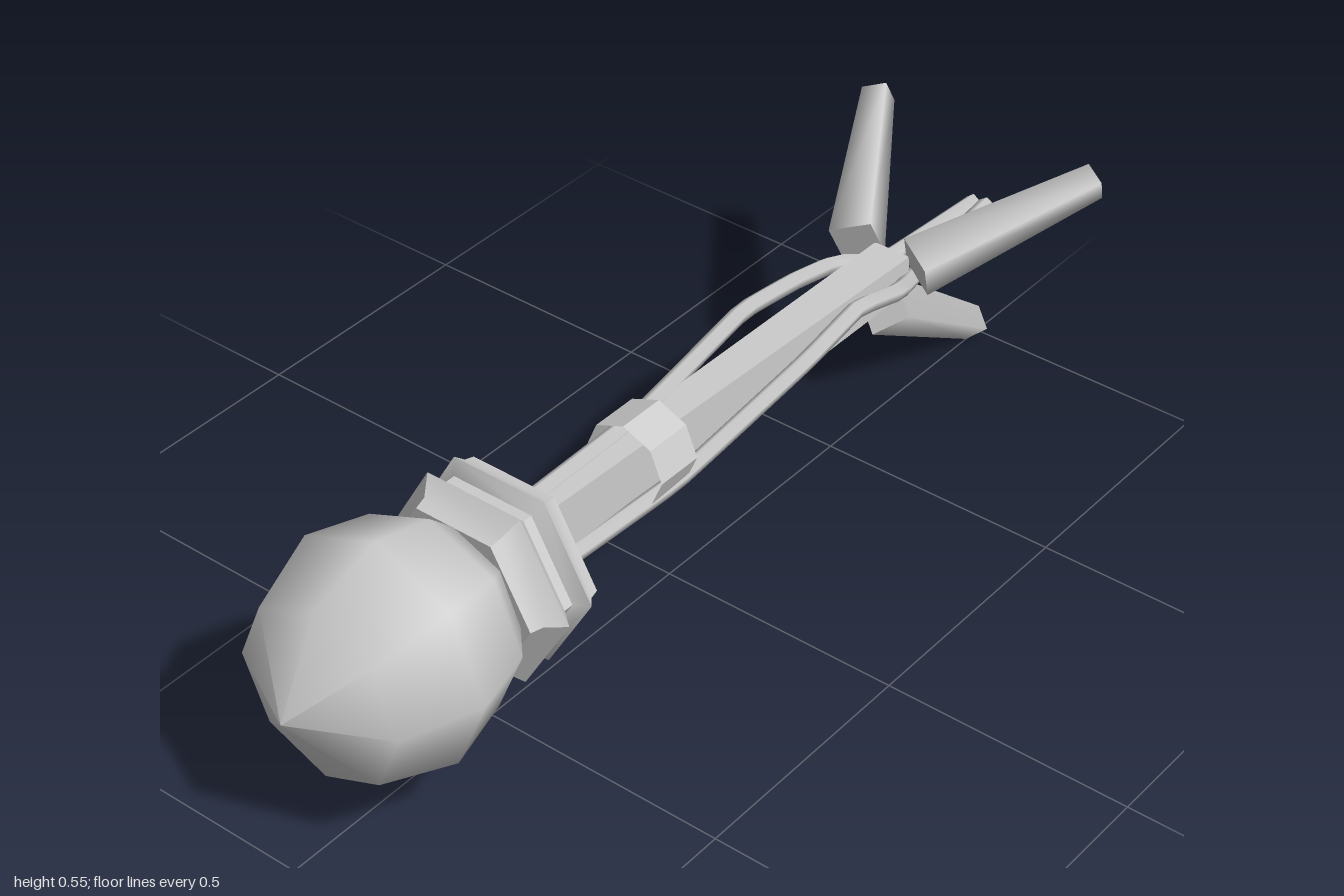
import * as THREE from 'three';
import { toCreasedNormals } from 'three/addons/utils/BufferGeometryUtils.js';

const AXIS_Y = 0.325;
const material = new THREE.MeshStandardMaterial({ color: 0xcccccc, side: THREE.DoubleSide });

function add(parent, name, geometry) {
  const mesh = new THREE.Mesh(geometry, material);
  mesh.name = name;
  parent.add(mesh);
  return mesh;
}

// Solid of revolution around the long (z) axis; profile is [radius, z], back to front
function turned(profile, sides, phase = 0) {
  const points = profile.map(([r, z]) => new THREE.Vector2(r, z));
  return new THREE.LatheGeometry(points, sides, phase).rotateX(Math.PI / 2).translate(0, AXIS_Y, 0);
}

// Bent wire through a few points
function wire(points) {
  const path = new THREE.CatmullRomCurve3(points.map((p) => new THREE.Vector3(...p)), false, 'catmullrom', 0.1);
  return new THREE.TubeGeometry(path, 32, 0.018, 5, false);
}

export function createModel() {
  const model = new THREE.Group();

  // Faceted round head
  add(model, 'head', turned([
    [0, 0.53], [0.13, 0.56], [0.195, 0.63], [0.228, 0.76], [0.175, 0.91], [0, 1],
  ], 8));

  // Ribbed six-sided collar behind the head
  add(model, 'collar', toCreasedNormals(turned([
    [0, 0.42], [0.18, 0.42], [0.185, 0.44], [0.2, 0.458], [0.172, 0.475],
    [0.172, 0.495], [0.205, 0.522], [0.172, 0.55], [0.165, 0.575], [0, 0.575],
  ], 6, Math.PI / 6 * 3), 0.6));

  // Stem, a little taller at the collar than at the tail
  const stem = new THREE.BoxGeometry(1, 1, 1.12);
  const pos = stem.attributes.position;
  for (let i = 0; i < pos.count; i++) {
    const front = pos.getZ(i) > 0;
    const top = pos.getY(i) > 0;
    const y = front ? (top ? 0.39 : 0.275) : (top ? 0.365 : 0.285);
    pos.setXYZ(i, Math.sign(pos.getX(i)) * (front ? 0.03 : 0.04), y, front ? 0.44 : -0.68);
  }
  stem.computeVertexNormals();
  add(model, 'stem', stem);

  // Open band around stem and wires
  const band = new THREE.CylinderGeometry(0.087, 0.087, 0.1, 8, 1, true);
  add(model, 'band', toCreasedNormals(band.rotateX(Math.PI / 2).translate(0, 0.33, 0.08), 0.5));

  // Two wires running along the stem to the tail
  add(model, 'leftWire', wire([
    [0.02, 0.25, 0.44], [0.055, 0.275, 0.05], [0.082, 0.355, -0.3], [0.08, 0.385, -0.46],
    [0.075, 0.345, -0.6], [0.04, 0.312, -0.7], [0.015, 0.32, -0.98],
  ]));
  add(model, 'rightWire', wire([
    [-0.015, 0.388, 0.44], [-0.03, 0.38, 0.05], [-0.098, 0.365, -0.34], [-0.095, 0.35, -0.5],
    [-0.088, 0.33, -0.62], [-0.04, 0.308, -0.7], [-0.015, 0.315, -0.98],
  ]));

  // Three splayed, tapering four-sided fins
  const start = new THREE.Vector3(0, -0.08, -0.66);
  const end = new THREE.Vector3(0, -0.295, -0.98);
  const along = end.clone().sub(start);
  const fin = new THREE.CylinderGeometry(0.036, 0.06, along.length(), 4);
  fin.applyQuaternion(new THREE.Quaternion().setFromUnitVectors(
    new THREE.Vector3(0, 1, 0), along.clone().normalize()));
  fin.translate(...start.clone().add(end).multiplyScalar(0.5).toArray());
  ['lowerFin', 'leftFin', 'rightFin'].forEach((name, i) => {
    const mesh = add(model, name, fin);
    mesh.position.y = AXIS_Y;
    mesh.rotation.z = i * Math.PI * 2 / 3;
  });

  return model;
}
